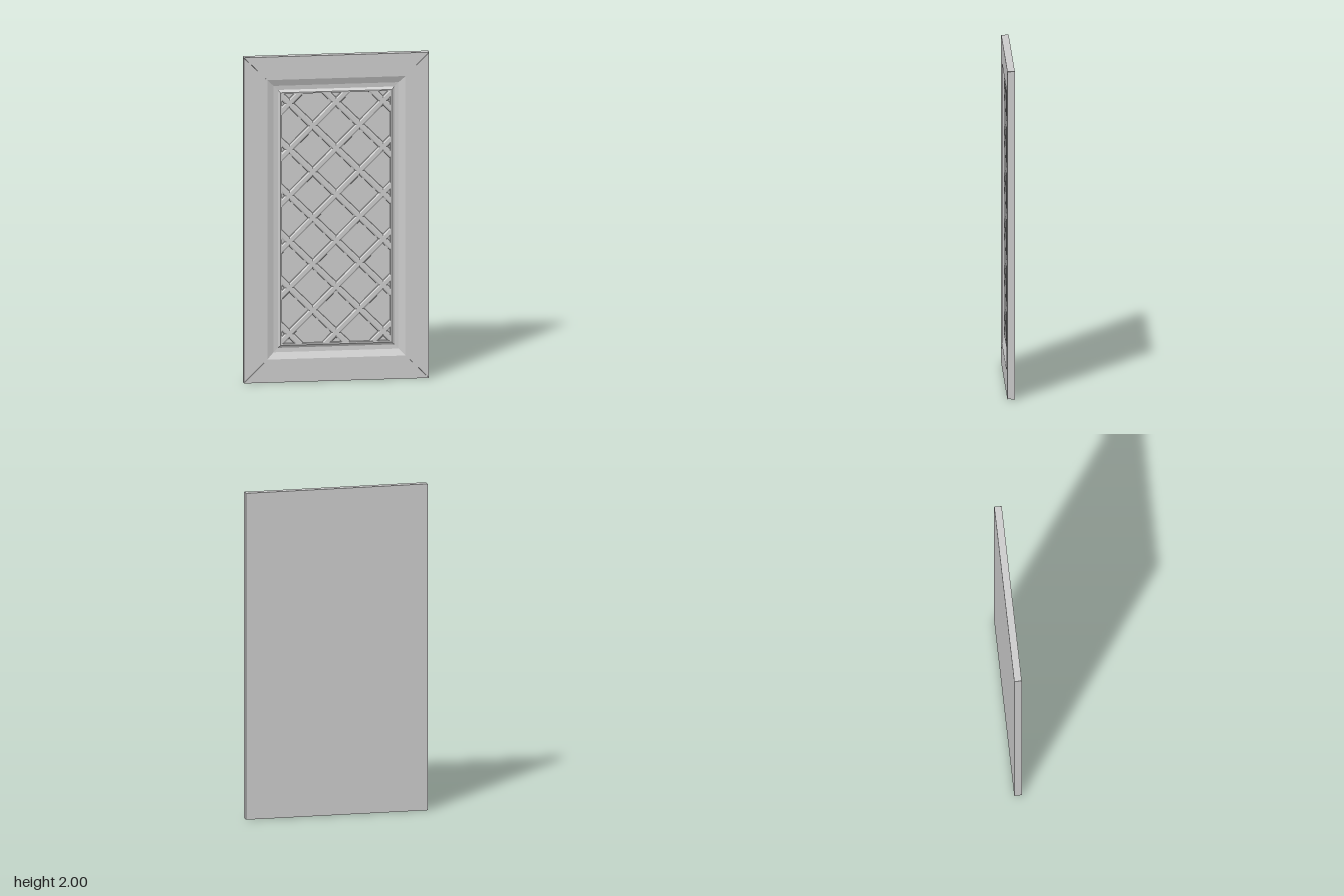
import * as THREE from 'three';

const HALF_W = 0.56, HALF_H = 1, BACK = -0.0225, FLOOR = 0;
const OPEN_W = 0.328, OPEN_H = 0.768; // half size of the lattice opening
const PITCH = 0.283;                  // lattice spacing

// Extrudes a closed profile one unit, then places each point by a rule (a, b, t)
function sweep(profile, rule) {
  const shape = new THREE.Shape(profile.map(([a, b]) => new THREE.Vector2(a, b)));
  const geo = new THREE.ExtrudeGeometry(shape, { depth: 1, steps: 1, bevelEnabled: false });
  const p = geo.attributes.position;
  for (let i = 0; i < p.count; i++) {
    p.setXYZ(i, ...rule(p.getX(i), p.getY(i), p.getZ(i)));
  }
  geo.computeVertexNormals();
  return geo;
}

export function createModel() {
  const group = new THREE.Group();
  group.name = 'cabinetDoor';
  const material = new THREE.MeshStandardMaterial({ color: 0xcccccc });
  const add = (name, geo) => {
    const mesh = new THREE.Mesh(geo, material);
    mesh.name = name;
    mesh.position.y = HALF_H;
    group.add(mesh);
    return mesh;
  };

  // Back board
  const board = new THREE.BoxGeometry(HALF_W * 2, HALF_H * 2, FLOOR - BACK);
  board.translate(0, 0, (FLOOR + BACK) / 2);
  add('backBoard', board);

  // Moulded frame: distance inward from the outer edge, height
  const moulding = [
    [0, FLOOR], [0.235, FLOOR], [0.233, 0.012], [0.224, 0.013],
    [0.208, 0.004], [0.182, 0.006], [0.142, 0.0225], [0, 0.0225],
  ].map(([d, z]) => [d, z]);
  ['bottomRail', 'leftStile', 'topRail', 'rightStile'].forEach((name, k) => {
    const [across, along] = k % 2 ? [HALF_W, HALF_H] : [HALF_H, HALF_W];
    const rail = sweep(moulding, (d, z, t) => {
      const gap = d < 0.14 ? 0.0015 : 0; // fine mitre joint in the flat part
      return [(t - 0.5) * 2 * (along - d - gap), d - across, z];
    });
    add(name, rail).rotation.z = k * Math.PI / 2;
  });

  // Crossed diagonal strips with chamfered sides, cut to the opening
  const strip = [[-0.021, FLOOR], [0.021, FLOOR], [0.019, 0.006], [0.011, 0.010],
    [-0.011, 0.010], [-0.019, 0.006]];
  for (const s of [-1, 1]) {
    for (let k = -4; k < 4; k++) {
      const c = (k + 0.5) * PITCH;
      add('latticeStrip', sweep(strip, (w, z, t) => {
        const cw = c + w * Math.SQRT2;
        const yMax = Math.min(OPEN_H, s * cw + OPEN_W);
        const yMin = Math.max(-OPEN_H, s * cw - OPEN_W);
        const y = yMax + (yMin - yMax) * t;
        return [cw - s * y, y, z];
      }));
    }
  }
  return group;
}
